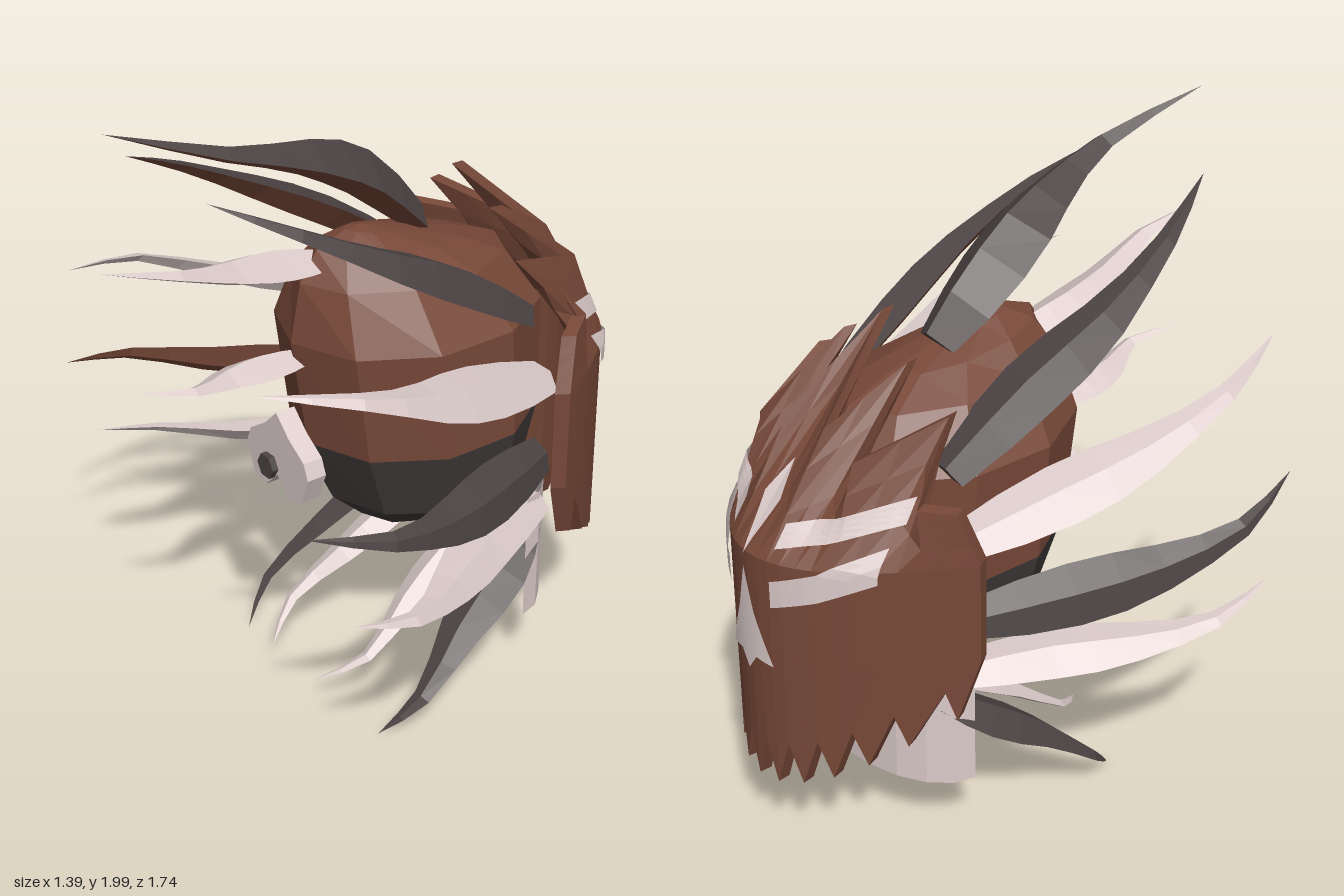
import * as THREE from 'three';

const mat = (name, color) => new THREE.MeshStandardMaterial({ name, color, flatShading: true, side: THREE.DoubleSide });
const brown = mat('brown', 0x774838);
const dark = mat('dark grey', 0x4d4444);
const charcoal = mat('charcoal', 0x403a3a);
const pale = mat('pale pink', 0xdccccb);

const lerp = THREE.MathUtils.lerp;

// Joins equal-length rows of [x, y, z] points with quads; pick(column) chooses the material group
function loft(rows, pick) {
  const buckets = [[], []];
  for (let r = 0; r < rows.length - 1; r++) {
    for (let c = 0; c < rows[r].length - 1; c++) {
      const a = rows[r][c], b = rows[r][c + 1], d = rows[r + 1][c], e = rows[r + 1][c + 1];
      buckets[pick ? pick(c) : 0].push(...a, ...b, ...d, ...b, ...e, ...d);
    }
  }
  const geo = new THREE.BufferGeometry();
  geo.setAttribute('position', new THREE.Float32BufferAttribute(buckets.flat(), 3));
  if (pick) {
    geo.addGroup(0, buckets[0].length / 3, 0);
    geo.addGroup(buckets[0].length / 3, buckets[1].length / 3, 1);
  }
  geo.computeVertexNormals();
  return geo;
}

function add(group, name, geo, material) {
  const mesh = new THREE.Mesh(geo, material);
  mesh.name = name;
  group.add(mesh);
  return mesh;
}

// Head ring: height, half width, front z, back z, drop of the back edge
function ring([y, w, zf, zb, drop = 0]) {
  return Array.from({ length: 11 }, (_, k) => {
    const a = -k * Math.PI / 5, c = Math.cos(a);
    return [w * Math.sin(a), y - drop * (1 - c) / 2, (zf + zb) / 2 + (zf - zb) / 2 * c];
  });
}

// Upper edge of the mask, from the middle outward: tip, notch, tip ...
const crown = [
  [0, 1.63, -0.37], [0.08, 1.38, -0.64], [0.145, 1.53, -0.4], [0.21, 1.33, -0.64],
  [0.3, 1.42, -0.38], [0.37, 1.22, -0.55], [0.43, 1.2, -0.46],
];
const SHOULDER = 1.04;

function crownAt(s) {
  const f = Math.min(Math.abs(s), 1) * 6, i = Math.min(5, Math.floor(f));
  const p = crown[i].map((v, k) => lerp(v, crown[i + 1][k], f - i));
  p[0] *= Math.sign(s);
  return p;
}

// Point on the outer mask: s runs -1..1 across, y is the height
function maskPoint(s, y) {
  const q = s * (1 - 0.4 * Math.max(0, 0.7 - y) * s * s);
  const base = [0.47 * q, y, -0.86 + 0.45 * q * q];
  if (y <= SHOULDER) return base;
  const top = crownAt(s), t = (y - SHOULDER) / (top[1] - SHOULDER);
  return [lerp(base[0], top[0], t), y, lerp(base[2], top[2], t)];
}

function maskGeometry() {
  const columns = [];
  for (let i = -12; i <= 12; i++) {
    const s = i / 12, top = crownAt(s)[1];
    const hem = 0.28 + 0.25 * s * s + (i % 2 ? 0.14 : 0);
    const outer = [hem, 0.72, SHOULDER, lerp(SHOULDER, top, 0.35), lerp(SHOULDER, top, 0.7), top]
      .map(y => maskPoint(s, y));
    const inner = outer.map(([x, y, z]) => [x * 0.95, y, z + 0.04]).reverse();
    columns.push([...outer, ...inner, outer[0]]);
  }
  // close the two side edges by collapsing onto the outer surface
  const seal = col => col.map((p, k) => (k >= 6 && k < 12 ? col[11 - k] : p));
  return loft([seal(columns[0]), ...columns, seal(columns[24])]);
}

// Painted mark on the mask: columns of [s, low y, high y]
function markGeometry(cols) {
  const lift = (s, y) => {
    const [x, h, z] = maskPoint(s, y);
    return [x + s * 0.012, h + (y > SHOULDER ? 0.006 : 0), z - 0.012];
  };
  const rows = [];
  for (let i = 0; i < cols.length - 1; i++) {
    for (let k = 0; k <= 4; k++) {
      const [s, lo, hi] = cols[i].map((v, n) => lerp(v, cols[i + 1][n], k / 4));
      rows.push([0, 0.25, 0.5, 0.75, 1].map(t => lift(s, lerp(lo, hi, t))));
    }
  }
  return loft(rows);
}

// Curved leaf-shaped spike, ridged on both faces
const leafWidth = [0.62, 0.88, 1, 0.95, 0.75, 0.5, 0.32, 0.17, 0];
function spikeGeometry(path, across, width, ridge) {
  const curve = new THREE.CatmullRomCurve3(path.map(p => new THREE.Vector3(...p)));
  const side = new THREE.Vector3(...across);
  const rows = leafWidth.map((f, i) => {
    const u = i / (leafWidth.length - 1);
    const p = curve.getPoint(u), t = curve.getTangent(u);
    const w = side.clone().addScaledVector(t, -t.dot(side)).normalize();
    const n = t.clone().cross(w);
    const half = width * f / 2;
    return [[w, -half], [n, half * ridge], [w, half], [n, -half * 0.4], [w, -half]]
      .map(([dir, d]) => p.clone().addScaledVector(dir, d).toArray());
  });
  const start = curve.getPoint(0).toArray();
  return loft([rows[0].map(() => start), ...rows], c => (c < 2 ? 0 : 1));
}

const sideSpikes = [
  { name: 'upperSpike', dark: true, width: 0.19, ridge: 0.6, across: [0.88, -0.45, 0],
    path: [[0.29, 1.24, -0.38], [0.31, 1.42, -0.1], [0.33, 1.56, 0.15], [0.29, 1.71, 0.42], [0.2, 1.83, 0.65]] },
  { name: 'upperSideSpike', dark: false, width: 0.19, ridge: 0.4, across: [0.85, -0.5, 0],
    path: [[0.37, 1.06, -0.4], [0.45, 1.14, -0.1], [0.52, 1.22, 0.15], [0.56, 1.33, 0.42], [0.47, 1.4, 0.7]] },
  { name: 'middleSideSpike', dark: true, width: 0.18, ridge: 0.4, across: [0.55, -0.83, 0],
    path: [[0.39, 0.81, -0.38], [0.51, 0.84, -0.1], [0.61, 0.88, 0.15], [0.68, 0.95, 0.4], [0.62, 1.02, 0.65]] },
  { name: 'lowerSideSpike', dark: false, width: 0.17, ridge: 0.5, across: [0.9, -0.4, 0],
    path: [[0.33, 0.61, -0.42], [0.44, 0.61, -0.12], [0.56, 0.62, 0.1], [0.67, 0.66, 0.32], [0.67, 0.72, 0.53]] },
  { name: 'outerBeardSpike', dark: true, width: 0.18, ridge: 0.5, across: [0.88, -0.4, 0],
    path: [[0.28, 0.5, -0.42], [0.33, 0.4, -0.28], [0.37, 0.28, -0.1], [0.41, 0.13, 0.08], [0.35, 0.01, 0.2]] },
  { name: 'innerBeardSpike', dark: false, width: 0.14, ridge: 0.5, across: [1, 0, 0],
    path: [[0.14, 0.5, -0.4], [0.15, 0.4, -0.22], [0.17, 0.3, -0.05], [0.2, 0.18, 0.13], [0.11, 0.1, 0.27]] },
];
const centreSpikes = [
  { name: 'crestSpike', dark: true, width: 0.25, ridge: 0.7, across: [1, 0, 0],
    path: [[-0.02, 1.48, -0.2], [-0.03, 1.66, 0], [0.02, 1.78, 0.22], [0.07, 1.88, 0.5], [0, 2, 0.83]] },
  { name: 'browSpike', dark: false, width: 0.2, ridge: 0.55, across: [1, 0, 0],
    path: [[-0.03, 1.43, 0.12], [-0.04, 1.45, 0.28], [-0.01, 1.49, 0.45], [0.04, 1.56, 0.65], [0.01, 1.62, 0.87]] },
  { name: 'smallSpike', dark: false, width: 0.15, ridge: 0.6, across: [1, 0, 0],
    path: [[-0.02, 1.15, 0.2], [-0.02, 1.155, 0.35], [0, 1.17, 0.48], [0.05, 1.2, 0.62], [0, 1.23, 0.78]] },
];

export function createModel() {
  const model = new THREE.Group();
  model.name = 'spikedMaskHead';

  // Two-tone head
  const upper = [[1.53, 0, 0, 0], [1.525, 0.05, 0.06, -0.12, 0.03], [1.49, 0.13, 0.16, -0.35, 0.06],
    [1.4, 0.23, 0.22, -0.5, 0.03], [1.22, 0.345, 0.255, -0.6], [0.87, 0.345, 0.2, -0.6]];
  const lower = [upper[5], [0.65, 0.3, 0.11, -0.55], [0.55, 0.17, 0, -0.45], [0.5, 0.07, -0.1, -0.3], [0.5, 0, -0.2, -0.2]];
  add(model, 'upperHead', loft(upper.map(ring)), brown);
  add(model, 'lowerHead', loft(lower.map(ring)), charcoal);

  // Neck collar: a half ring curving round the back
  const collar = add(model, 'collar', new THREE.CylinderGeometry(0.37, 0.37, 0.42, 10, 1, true, Math.PI / 2, Math.PI), pale);
  collar.scale.z = 0.215 / 0.37;
  collar.position.set(0, 0.44, -0.35);

  // Mask with its painted marks
  add(model, 'mask', maskGeometry(), brown);
  for (const m of [1, -1]) {
    const side = m > 0 ? 'left' : 'right';
    add(model, side + 'BrowStripe', markGeometry(
      [[0.2 * m, 1.075, 1.14], [0.45 * m, 1.11, 1.175], [0.72 * m, 1.165, 1.235]]), pale);
    add(model, side + 'CheekStripe', markGeometry(
      [[0.2 * m, 0.9, 0.985], [0.45 * m, 0.945, 1.035], [0.69 * m, 1.01, 1.105]]), pale);
  }
  add(model, 'foreheadDiamond', markGeometry([[-0.075, 1.18, 1.18], [0, 1.04, 1.27], [0.075, 1.18, 1.18]]), pale);
  add(model, 'noseMark', markGeometry([[-0.2, 0.7, 0.7], [-0.07, 0.71, 0.86], [0, 0.66, 1],
    [0.07, 0.71, 0.86], [0.2, 0.7, 0.7]]), pale);

  // Spade-shaped front plate with a hexagonal stud
  const half = [[0, 1.01], [0.06, 0.95], [0.135, 0.9], [0.155, 0.85], [0.12, 0.76], [0.06, 0.74], [0, 0.8]];
  const outline = [...half, ...half.slice(1, -1).reverse().map(([x, y]) => [-x, y])];
  const spade = new THREE.Shape(outline.map(p => new THREE.Vector2(...p)));
  add(model, 'frontPlate', new THREE.ExtrudeGeometry(spade, { depth: 0.065, bevelEnabled: false }), pale).position.z = 0.247;
  const stud = add(model, 'frontStud', new THREE.CylinderGeometry(0.04, 0.04, 0.02, 6), dark);
  stud.rotation.set(Math.PI / 2, Math.PI / 6, 0);
  stud.position.set(0, 0.845, 0.345);

  // Spikes: dark ones are brown underneath
  const spike = (s, name, m) => add(model, name, spikeGeometry(
    s.path.map(([x, y, z]) => [x * m, y, z]), [s.across[0], s.across[1] * m, 0], s.width, s.ridge),
  s.dark ? [dark, brown] : [pale, pale]);
  for (const s of centreSpikes) spike(s, s.name, 1);
  for (const s of sideSpikes) {
    spike(s, s.name + 'Left', 1);
    spike(s, s.name + 'Right', -1);
  }
  return model;
}
